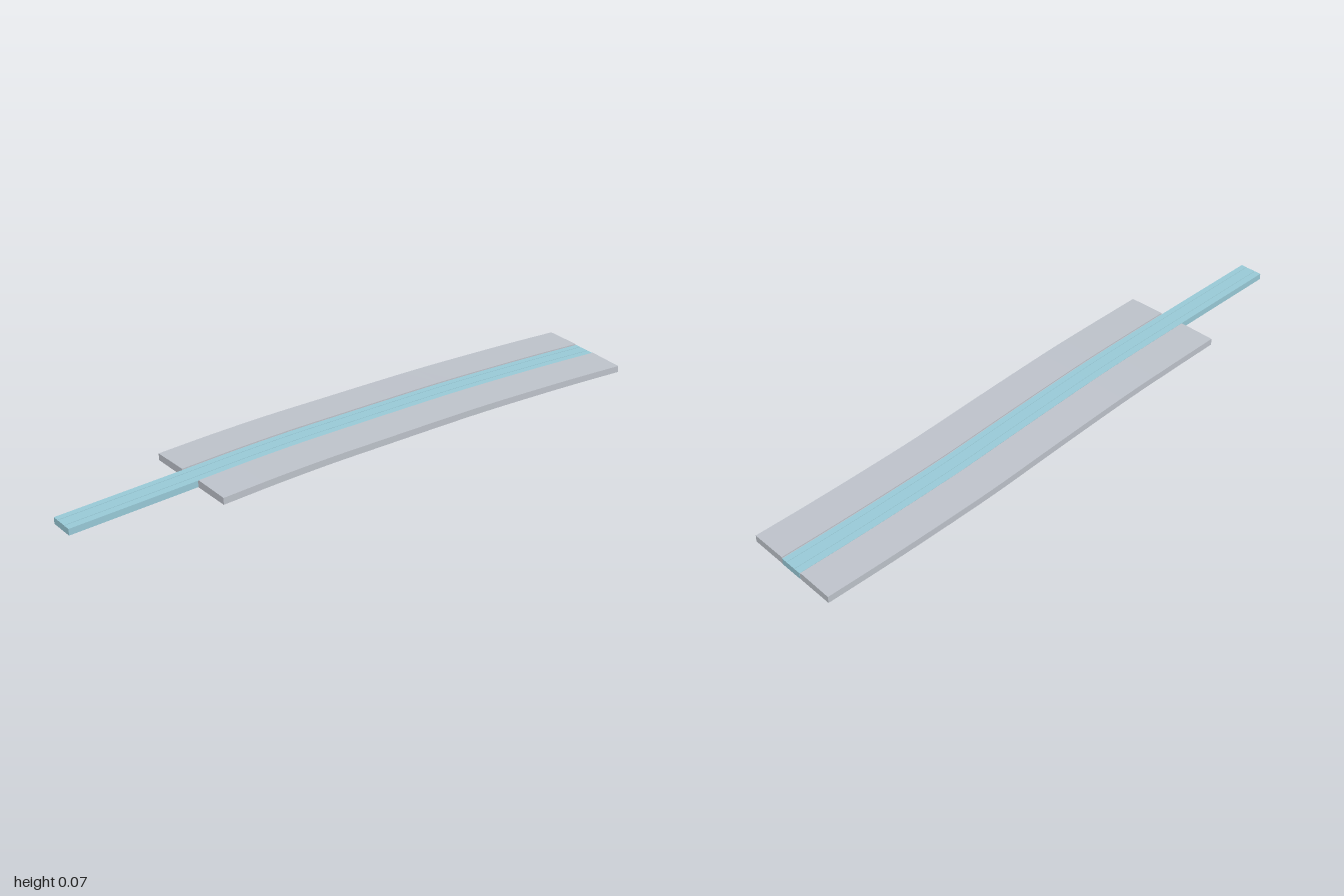
import * as THREE from 'three';

// centreline stations: x, top height, z
const path = new THREE.CatmullRomCurve3([
  [-0.996, 0.064, 0.115], [-0.58, 0.068, 0.071], [-0.4, 0.07, 0.051], [-0.2, 0.069, 0.03], [0, 0.063, 0.0085],
  [0.2, 0.056, -0.014], [0.4, 0.048, -0.036], [0.6, 0.04, -0.052], [0.8, 0.032, -0.065], [0.99, 0.024, -0.074],
].map(p => new THREE.Vector3(...p)));

// sweep a closed cross-section [sideways, up], listed anticlockwise, along the path
function sweep(section, t0, t1, steps) {
  const n = section.length, rings = [], pos = [];
  for (let i = 0; i <= steps; i++) {
    const t = t0 + (t1 - t0) * i / steps;
    const c = path.getPoint(t), d = path.getTangent(t);
    const len = Math.hypot(d.x, d.z), sx = d.z / len, sz = -d.x / len;
    rings.push(section.map(([s, u]) => [c.x + sx * s, c.y + u, c.z + sz * s]));
  }
  const tri = (a, b, c) => pos.push(...a, ...b, ...c);
  for (let i = 0; i < steps; i++) for (let j = 0; j < n; j++) {
    const k = (j + 1) % n, a = rings[i], b = rings[i + 1];
    tri(a[j], a[k], b[k]);
    tri(a[j], b[k], b[j]);
  }
  const caps = THREE.ShapeUtils.triangulateShape(section.map(p => new THREE.Vector2(...p)), []);
  const first = rings[0], last = rings[steps];
  for (const [a, b, c] of caps) {
    tri(first[a], first[c], first[b]);
    tri(last[a], last[b], last[c]);
  }
  const g = new THREE.BufferGeometry();
  g.setAttribute('position', new THREE.Float32BufferAttribute(pos, 3));
  g.computeVertexNormals();
  return g;
}

export function createModel() {
  const group = new THREE.Group();
  const concrete = new THREE.MeshStandardMaterial({ color: 0xbdc2ca });
  concrete.name = 'grey concrete';
  const teal = new THREE.MeshStandardMaterial({ color: 0x98c9d6 });
  teal.name = 'pale teal';
  const add = (name, geometry, material) => {
    const m = new THREE.Mesh(geometry, material);
    m.name = name;
    group.add(m);
  };

  // slightly crowned slab with a shallow trough down the middle
  const slab = [
    [-0.167, -0.024], [0.167, -0.024], [0.167, -0.002], [0.043, 0],
    [0.043, -0.004], [-0.043, -0.004], [-0.043, 0], [-0.167, -0.002],
  ];
  add('slab', sweep(slab, 1 / 9, 0.9995, 32), concrete);

  // long track strip with two fine grooves, running out past the slab
  const strip = [[-0.04, -0.0235], [0.04, -0.0235], [0.04, -0.0025]];
  for (const s of [0.018, -0.018]) {
    strip.push([s + 0.0025, -0.0025], [s + 0.0025, -0.0038], [s - 0.0025, -0.0038], [s - 0.0025, -0.0025]);
  }
  strip.push([-0.04, -0.0025]);
  add('trackStrip', sweep(strip, 0, 1, 36), teal);
  return group;
}
